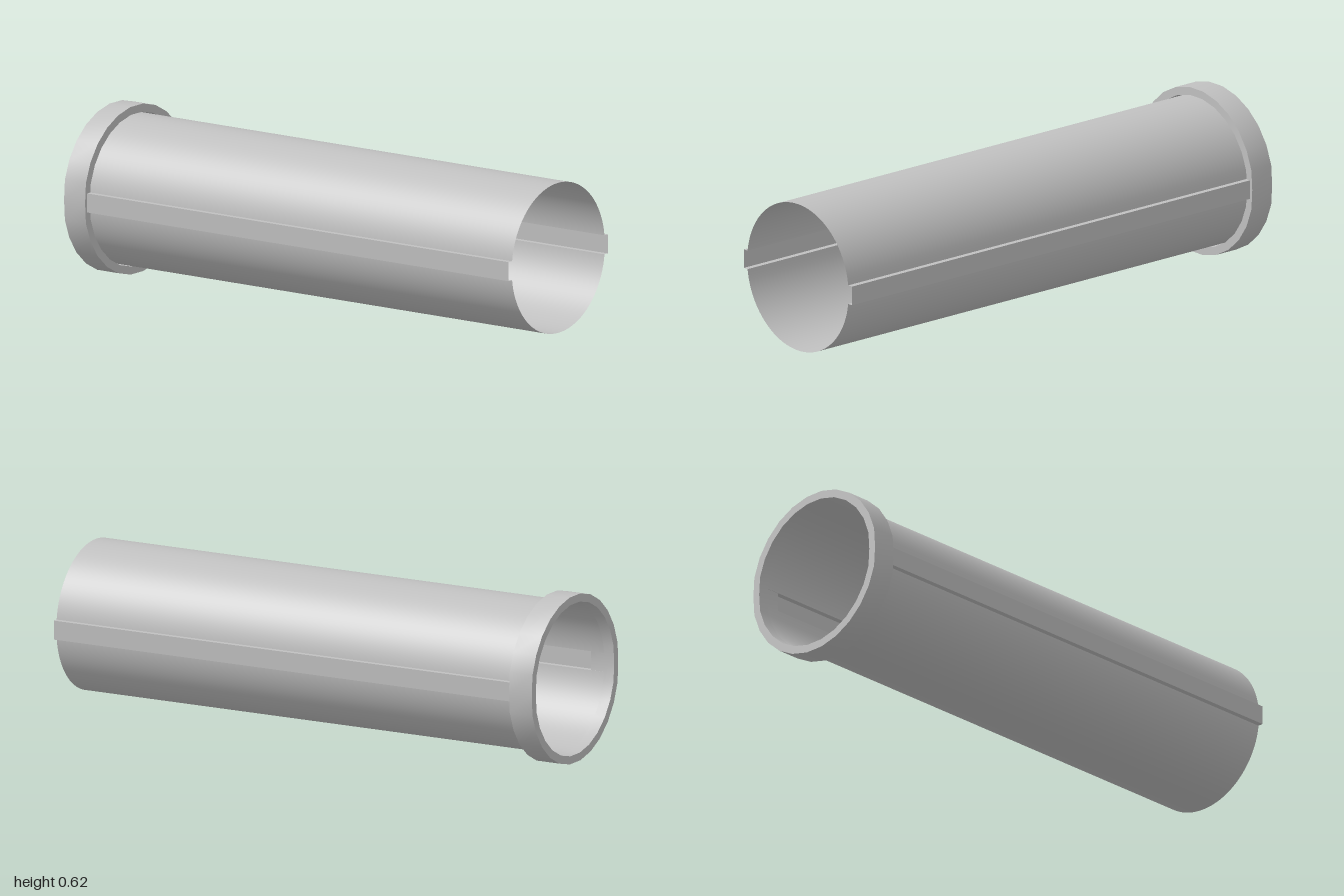
import * as THREE from 'three';
import { toCreasedNormals } from 'three/addons/utils/BufferGeometryUtils.js';

const CENTRE_Y = 0.309;
const TUBE_R = 0.276;
const TUBE_START = -0.96, TUBE_END = 1;
const RAIL_HALF = 0.035, RAIL_Z = 0.294;

// 26-sided outline, slightly flattened at the two side corners
function ringOutline(radius) {
  const points = [];
  for (let k = 0; k < 26; k++) {
    const a = (k / 26) * Math.PI * 2;
    const r = k % 13 === 0 ? radius * 0.987 : radius;
    points.push(new THREE.Vector2(r * Math.cos(a), r * Math.sin(a)));
  }
  return points;
}

export function createModel() {
  const model = new THREE.Group();
  const grey = new THREE.MeshStandardMaterial({ color: 0xc0c0c0 });
  grey.name = 'grey';
  const thinGrey = grey;
  thinGrey.side = THREE.DoubleSide;

  const add = (name, geometry) => {
    const mesh = new THREE.Mesh(geometry, grey);
    mesh.name = name;
    model.add(mesh);
    return mesh;
  };

  // End collar
  const shape = new THREE.Shape(ringOutline(0.3105));
  shape.holes.push(new THREE.Path(ringOutline(0.281)));
  const collar = new THREE.ExtrudeGeometry(shape, { depth: 0.095, bevelEnabled: false });
  collar.rotateY(Math.PI / 2).translate(-1, CENTRE_Y, 0);
  add('endCollar', toCreasedNormals(collar, 0.6));

  // Thin tube wall: upper and lower arcs, leaving a slot on each side
  const length = TUBE_END - TUBE_START;
  const mid = (TUBE_START + TUBE_END) / 2;
  const slot = Math.asin(RAIL_HALF / TUBE_R);
  for (const [name, start] of [['lowerTubeWall', slot], ['upperTubeWall', Math.PI + slot]]) {
    const arc = new THREE.CylinderGeometry(TUBE_R, TUBE_R, length, 40, 1, true, start, Math.PI - 2 * slot);
    arc.rotateZ(-Math.PI / 2).translate(mid, CENTRE_Y, 0);
    add(name, arc);
  }

  // Raised side channels, open to the inside
  const edgeZ = TUBE_R * Math.cos(slot);
  const depth = RAIL_Z - edgeZ;
  for (const side of [1, -1]) {
    const face = new THREE.PlaneGeometry(length, RAIL_HALF * 2);
    if (side < 0) face.rotateY(Math.PI);
    face.translate(mid, CENTRE_Y, side * RAIL_Z);
    add('channelFace', face);
    for (const up of [1, -1]) {
      const wall = new THREE.PlaneGeometry(length, depth);
      wall.rotateX(-up * Math.PI / 2);
      wall.translate(mid, CENTRE_Y + up * RAIL_HALF, side * (edgeZ + depth / 2));
      add('channelWall', wall);
    }
  }
  return model;
}
